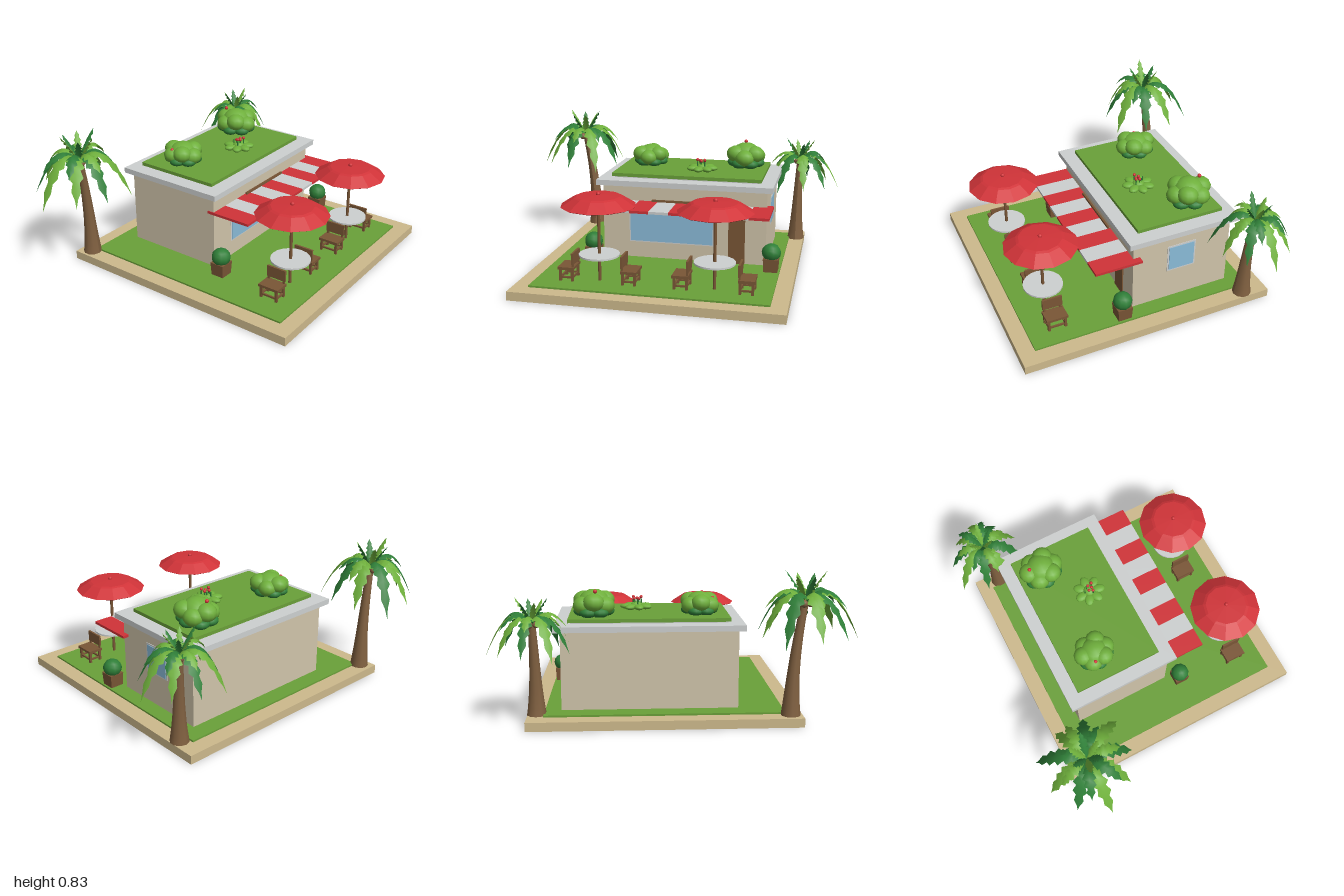
import * as THREE from 'three';

const D = { side: THREE.DoubleSide };
const mat = (name, color, extra = {}) => Object.assign(new THREE.MeshStandardMaterial({ color, ...extra }), { name });
const M = {
  sand: mat('sand', 0xcdb98c), grass: mat('grass', 0x6aa039), wall: mat('plaster', 0xd0c4aa),
  white: mat('pale grey', 0xcdd0d0), red: mat('red', 0xd03338, D), glass: mat('glass blue', 0x8abbd8),
  wood: mat('wood brown', 0x7a5636), trunk: mat('bark', 0x806040),
  leaf: mat('bright leaf', 0x6fb03c, D), dark: mat('dark leaf', 0x2f7f38, D),
};

function add(parent, name, geo, material, x = 0, y = 0, z = 0) {
  const m = new THREE.Mesh(geo, material);
  m.name = name;
  m.position.set(x, y, z);
  parent.add(m);
  return m;
}

// box given by its extents on each axis
function box(parent, name, material, x0, x1, y0, y1, z0, z1) {
  return add(parent, name, new THREE.BoxGeometry(x1 - x0, y1 - y0, z1 - z0), material,
    (x0 + x1) / 2, (y0 + y1) / 2, (z0 + z1) / 2);
}

function group(parent, name, x = 0, y = 0, z = 0) {
  const g = new THREE.Group();
  g.name = name;
  g.position.set(x, y, z);
  parent.add(g);
  return g;
}

function ball(parent, name, material, r, x, y, z, sy = 1) {
  const m = add(parent, name, new THREE.SphereGeometry(r, 12, 9), material, x, y, z);
  m.scale.y = sy;
  return m;
}

// serrated, folded palm leaf arching along +x: height = a t + b t^2, times its reach
function frondGeometry(reach, a, b, width) {
  const n = 12, pos = [], idx = [];
  for (let i = 0; i <= n; i++) {
    const t = i / n;
    const w = width * Math.pow(Math.sin(Math.PI * (0.1 + 0.9 * t)), 0.7) * (i % 2 ? 0.62 : 1.1);
    const x = reach * t, y = reach * (a * t + b * t * t);
    const sweep = i % 2 ? 0 : 0.015 * (1 - t);
    pos.push(x + sweep, y - w * 0.55, -w, x, y, 0, x + sweep, y - w * 0.55, w);
    if (i < n) {
      const k = i * 3;
      for (const j of [k, k + 1]) idx.push(j, j + 1, j + 3, j + 1, j + 4, j + 3);
    }
  }
  const g = new THREE.BufferGeometry();
  g.setAttribute('position', new THREE.Float32BufferAttribute(pos, 3));
  g.setIndex(idx);
  g.computeVertexNormals();
  return g;
}

function palm(parent, name, x, z, hub, s, startAngle) {
  const p = group(parent, name, x, 0, z);
  const [hx, hy, hz] = hub, base = 0.05;
  // flared, leaning trunk
  const geo = new THREE.CylinderGeometry(1, 1, 1, 10, 12);
  const v = geo.attributes.position;
  for (let i = 0; i < v.count; i++) {
    const t = v.getY(i) + 0.5;
    const r = 0.02 + 0.018 * (1 - t) + 0.016 * Math.pow(1 - t, 4);
    v.setXYZ(i, v.getX(i) * r + hx * t * t, base + t * (hy - base), v.getZ(i) * r + hz * t * t);
  }
  geo.computeVertexNormals();
  add(p, 'trunk', geo, M.trunk);
  const crown = group(p, 'crown', hx, hy, hz);
  crown.scale.setScalar(s);
  // tiers: count, reach, arch a, arch b, width, turn
  const tiers = [[9, 0.295, 1.2, -1.92, 0.042, 0], [7, 0.22, 1.35, -1.5, 0.036, 0.35], [6, 0.11, 1.9, -0.4, 0.022, 0.2]];
  tiers.forEach(([n, reach, a, b, w, turn], tier) => {
    for (let k = 0; k < n; k++) {
      const len = reach * (k % 3 ? 0.87 : 1);
      const f = add(crown, 'frond', frondGeometry(len, a, b, w), (k + tier) % 2 ? M.dark : M.leaf);
      f.rotation.y = -(startAngle + turn + k * 2 * Math.PI / n);
    }
  });
  for (let k = 0; k < 4; k++) {
    const a = k * Math.PI / 2 + 0.4;
    ball(crown, 'coconut', M.trunk, 0.021, 0.03 * Math.cos(a), -0.01, 0.03 * Math.sin(a));
  }
}

// chair with its back on the -x side; side = -1 turns it round
function chair(parent, x, side) {
  const c = group(parent, 'chair', x, 0, 0);
  c.rotation.y = side < 0 ? Math.PI : 0;
  box(c, 'seat', M.wood, -0.045, 0.045, 0.125, 0.14, -0.062, 0.062);
  box(c, 'backrest', M.wood, -0.045, -0.033, 0.155, 0.22, -0.058, 0.058);
  for (const sz of [-1, 1]) {
    const z = sz * 0.048;
    for (const lx of [-0.035, 0.033]) box(c, 'leg', M.wood, lx - 0.007, lx + 0.007, 0.055, 0.128, z - 0.007, z + 0.007);
    box(c, 'backPost', M.wood, -0.043, -0.034, 0.135, 0.16, z - 0.006, z + 0.006);
    box(c, 'stretcher', M.wood, -0.035, 0.033, 0.075, 0.085, z - 0.005, z + 0.005);
  }
  for (const lx of [-0.035, 0.033]) box(c, 'stretcher', M.wood, lx - 0.005, lx + 0.005, 0.075, 0.085, -0.048, 0.048);
}

function tableSet(parent, x) {
  const t = group(parent, 'tableSet', x, 0, 0.557);
  add(t, 'pole', new THREE.CylinderGeometry(0.009, 0.009, 0.49, 8), M.wood, 0, 0.295, 0);
  add(t, 'tableTop', new THREE.CylinderGeometry(0.113, 0.113, 0.01, 20), M.white, 0, 0.21, 0);
  const profile = [[0, 0.546], [0.12, 0.54], [0.135, 0.534], [0.207, 0.488], [0.2, 0.484], [0.12, 0.528], [0, 0.534]];
  const canopy = new THREE.LatheGeometry(profile.map(([r, y]) => new THREE.Vector2(r, y)).reverse(), 12).toNonIndexed();
  canopy.computeVertexNormals();
  add(t, 'umbrella', canopy, M.red);
  ball(t, 'knob', M.red, 0.012, 0, 0.55, 0);
  chair(t, -0.178, -1);
  chair(t, 0.178, 1);
}

// cluster of overlapping foliage balls
function bush(parent, x, z, r, h) {
  const b = group(parent, 'roofBush', x, 0.555, z);
  ball(b, 'foliage', M.leaf, r * 0.72, 0, h * 0.5, 0, h * 0.5 / (r * 0.72));
  for (let k = 0; k < 6; k++) {
    const a = k * Math.PI / 3 + 0.5, d = r * 0.52;
    ball(b, 'foliage', M.leaf, r * 0.48, d * Math.cos(a), h * (k % 2 ? 0.42 : 0.56), d * 1.15 * Math.sin(a), 0.85);
    ball(b, 'lowerFoliage', M.dark, r * 0.4, d * Math.cos(a + 0.5), h * 0.18, d * 1.15 * Math.sin(a + 0.5), 0.6);
  }
}

export function createModel() {
  const model = new THREE.Group();
  model.name = 'gardenCafe';

  // ground
  box(model, 'paving', M.sand, -0.7, 0.79, 0, 0.05, -0.68, 0.815);
  box(model, 'lawn', M.grass, -0.61, 0.7, 0.045, 0.06, -0.59, 0.725);

  // building
  const house = group(model, 'house');
  box(house, 'walls', M.wall, -0.365, 0.61, 0.05, 0.5, -0.49, 0.11);
  box(house, 'roofSlab', M.white, -0.4, 0.645, 0.498, 0.53, -0.53, 0.145);
  box(house, 'roofBed', M.white, -0.31, 0.555, 0.53, 0.54, -0.44, 0.05);
  box(house, 'roofLawn', M.grass, -0.325, 0.57, 0.538, 0.558, -0.455, 0.065);
  box(house, 'frontWindowFrame', M.white, -0.205, 0.305, 0.155, 0.405, 0.108, 0.113);
  box(house, 'frontWindow', M.glass, -0.198, 0.298, 0.162, 0.398, 0.11, 0.116);
  box(house, 'sideWindowFrame', M.white, 0.608, 0.613, 0.25, 0.422, -0.275, -0.1);
  box(house, 'sideWindow', M.glass, 0.61, 0.616, 0.26, 0.412, -0.265, -0.11);
  box(house, 'door', M.wood, 0.39, 0.487, 0.06, 0.325, 0.105, 0.118);
  const sign = box(house, 'signBoard', M.wood, -0.065, 0.308, 0.335, 0.42, 0.118, 0.13);
  sign.rotation.x = -0.08;

  // striped awning
  const awning = group(model, 'awning'), w = 1.016 / 9;
  for (let i = 0; i < 9; i++) {
    box(awning, 'stripe', i % 2 ? M.white : M.red, -0.37 + i * w, -0.37 + (i + 1) * w, 0.393, 0.408, 0.07, 0.347);
  }

  // potted shrubs
  for (const x of [-0.405, 0.65]) {
    const p = group(model, 'planter', x, 0, 0.19);
    const pot = add(p, 'pot', new THREE.CylinderGeometry(0.062, 0.055, 0.08, 4), M.wood, 0, 0.097, 0);
    pot.geometry = pot.geometry.toNonIndexed();
    pot.geometry.computeVertexNormals();
    pot.rotation.y = Math.PI / 4;
    const shrub = add(p, 'shrub', new THREE.SphereGeometry(0.055, 10, 8), M.dark, 0, 0.168, 0);
    shrub.scale.y = 0.95;
  }

  // seating
  tableSet(model, -0.255);
  tableSet(model, 0.385);

  // roof garden
  bush(model, -0.165, -0.27, 0.115, 0.125);
  bush(model, 0.43, -0.315, 0.125, 0.15);
  for (const [x, y, z] of [[-0.235, 0.645, -0.295], [0.42, 0.7, -0.385], [0.5, 0.665, -0.3]]) ball(model, 'berry', M.red, 0.011, x, y, z);
  const flower = group(model, 'floweringPlant', 0.19, 0.56, -0.12);
  for (let k = 0; k < 7; k++) {
    const a = k * 2 * Math.PI / 7, c = Math.cos(a), s = Math.sin(a);
    const leaf = ball(flower, 'leaf', M.leaf, 0.04, 0.055 * c, 0.014, 0.055 * s, 0.4);
    leaf.rotation.y = -a;
    leaf.scale.z = 0.7;
    const r = k % 2 ? 0.03 : 0.015;
    add(flower, 'stem', new THREE.CylinderGeometry(0.004, 0.004, 0.05, 5), M.dark, r * c, 0.03, r * s);
    if (k < 5) ball(flower, 'berry', M.red, 0.009, r * c, 0.058 + (k % 2) * 0.008, r * s);
  }
  ball(flower, 'heart', M.leaf, 0.035, 0, 0.02, 0, 0.6);

  // palms
  palm(model, 'rightPalm', -0.635, -0.605, [-0.065, 0.67, 0.02], 1, Math.PI);
  palm(model, 'leftPalm', 0.74, -0.53, [0.01, 0.56, -0.025], 0.84, 0);
  return model;
}
